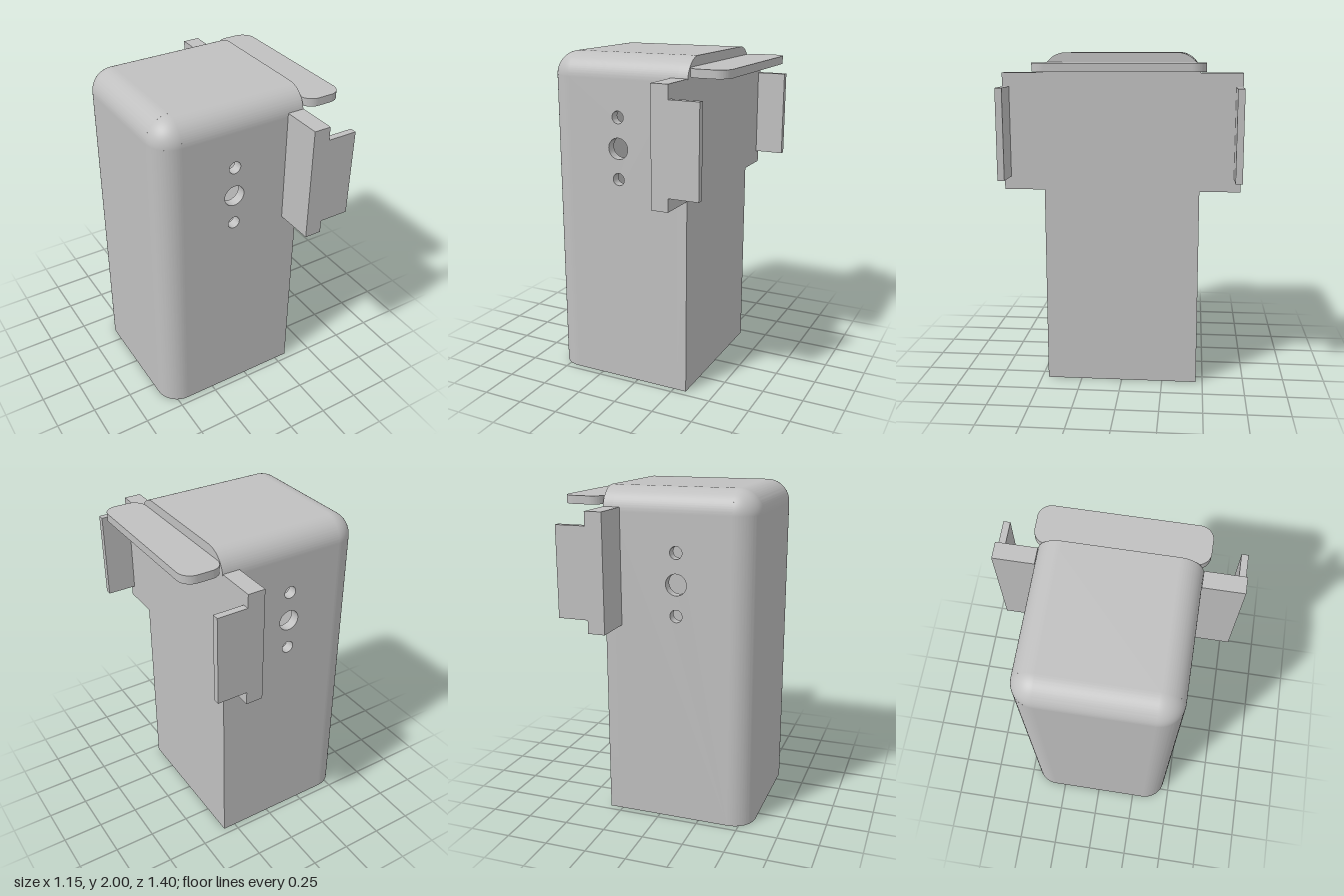
import * as THREE from 'three';
import { toCreasedNormals } from 'three/addons/utils/BufferGeometryUtils.js';

const grey = new THREE.MeshStandardMaterial({ color: 0xc0c0c0, side: THREE.DoubleSide });
grey.name = 'plain grey';

// Main dimensions: housing limits, fillet radius and wall thickness
const X0 = -0.575, X1 = 0.33, Z = 0.46, TOP = 2, R = 0.14, T = 0.06;
const CX = X0 + R, CY = TOP - R, CZ = Z - R, XI = X1 - T;

const AX = {
  x: new THREE.Vector3(1, 0, 0), y: new THREE.Vector3(0, 1, 0), z: new THREE.Vector3(0, 0, 1),
  nx: new THREE.Vector3(-1, 0, 0), nz: new THREE.Vector3(0, 0, -1),
};

export function createModel() {
  const model = new THREE.Group();
  model.name = 'wallHousing';

  const add = (name, geometry) => {
    const mesh = new THREE.Mesh(geometry, grey);
    mesh.name = name;
    model.add(mesh);
    return mesh;
  };
  // Box given by its limits
  const box = (name, x0, x1, y0, y1, z0, z1) =>
    add(name, new THREE.BoxGeometry(x1 - x0, y1 - y0, z1 - z0))
      .position.set((x0 + x1) / 2, (y0 + y1) / 2, (z0 + z1) / 2);
  // Shape extruded along u x v, placed at a point
  const extrude = (name, shape, depth, u, v, x, y, z) => {
    const g = new THREE.ExtrudeGeometry(shape, { depth, bevelEnabled: false, curveSegments: 18 });
    const m = new THREE.Matrix4().makeBasis(u, v, u.clone().cross(v)).setPosition(x, y, z);
    return add(name, toCreasedNormals(g.applyMatrix4(m), 0.5));
  };

  // Rounded edge with a square inner corner
  const edge = new THREE.Shape();
  edge.moveTo(R, 0);
  edge.absarc(0, 0, R, 0, Math.PI / 2, false);
  edge.lineTo(0, R - T);
  edge.lineTo(R - T, R - T);
  edge.lineTo(R - T, 0);
  extrude('frontCornerPost', edge, CY, AX.nx, AX.z, CX, 0, CZ);
  extrude('backCornerPost', edge, CY, AX.nz, AX.nx, CX, 0, -CZ);
  extrude('frontTopEdge', edge, XI - CX, AX.y, AX.z, CX, CY, CZ);
  extrude('backTopEdge', edge, XI - CX, AX.nz, AX.y, CX, CY, -CZ);
  extrude('sideTopEdge', edge, 2 * CZ, AX.y, AX.nx, CX, CY, -CZ);

  // Ball corners where three rounded edges meet
  for (const [name, phi, z] of [['frontBallCorner', 0, CZ], ['backBallCorner', -Math.PI / 2, -CZ]]) {
    add(name, new THREE.SphereGeometry(R, 18, 18, phi, Math.PI / 2, 0, Math.PI / 2))
      .position.set(CX, CY, z);
  }

  // Front and back walls, each with three drilled holes
  const wall = new THREE.Shape();
  wall.moveTo(CX, 0);
  wall.lineTo(XI, 0);
  wall.lineTo(XI, CY);
  wall.lineTo(CX, CY);
  wall.closePath();
  for (const [y, r] of [[1.643, 0.037], [1.46, 0.063], [1.277, 0.037]]) {
    const hole = new THREE.Path();
    hole.absarc(-0.11, y, r, 0, Math.PI * 2, true);
    wall.holes.push(hole);
  }
  extrude('frontWall', wall, T, AX.x, AX.y, 0, 0, Z - T);
  extrude('backWall', wall, T, AX.x, AX.y, 0, 0, -Z);

  // Plain walls; the bottom stays open
  box('roundedSideWall', X0, X0 + T, 0, CY, -CZ, CZ);
  box('roof', CX, XI, TOP - T, TOP, -CZ, CZ);

  // Flat mounting wall with rounded top corners
  const mount = new THREE.Shape();
  mount.moveTo(-Z, 0);
  mount.lineTo(Z, 0);
  mount.lineTo(Z, CY);
  mount.absarc(CZ, CY, R, 0, Math.PI / 2, false);
  mount.absarc(-CZ, CY, R, Math.PI / 2, Math.PI, false);
  mount.closePath();
  extrude('mountingWall', mount, T, AX.nz, AX.y, XI, 0, 0);

  // Side wings with projecting lips
  for (const s of [1, -1]) {
    const side = s > 0 ? 'front' : 'back';
    const span = (a, b) => (s > 0 ? [a, b] : [-b, -a]);
    box(side + 'Wing', 0.228, X1, 1.197, 1.885, ...span(Z, 0.7));
    box(side + 'WingLip', X1, 0.51, 1.275, 1.805, ...span(0.66, 0.7));
  }

  // Rounded tab projecting at the top
  const x0 = X1, x1 = 0.572, z1 = 0.488, r = 0.08;
  const tab = new THREE.Shape();
  tab.absarc(x1 - r, z1 - r, r, 0, Math.PI / 2, false);
  tab.absarc(x0 + r, z1 - r, r, Math.PI / 2, Math.PI, false);
  tab.absarc(x0 + r, -z1 + r, r, Math.PI, Math.PI * 1.5, false);
  tab.absarc(x1 - r, -z1 + r, r, Math.PI * 1.5, Math.PI * 2, false);
  extrude('topTab', tab, 0.048, AX.x, AX.nz, 0, 1.896, 0);

  return model;
}
